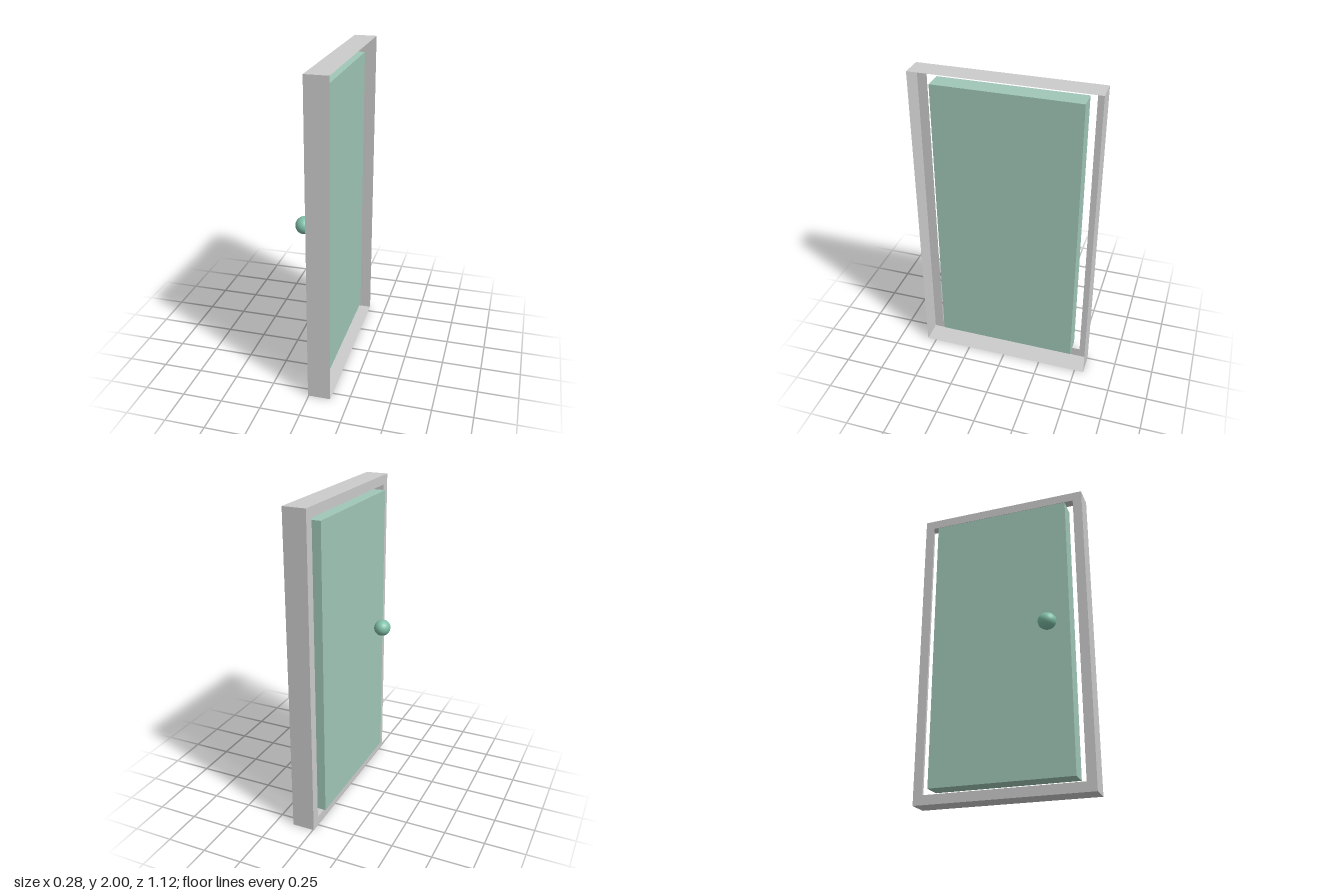
import * as THREE from 'three';

const HEIGHT = 2, WIDTH = 1.12;          // outer frame size (y, z)
const X_BACK = -0.005, X_OPEN = 0.137;   // frame depth along x
const BORDER = 0.06;

export function createModel() {
  const model = new THREE.Group();
  const grey = new THREE.MeshStandardMaterial({ color: 0xcccccc, side: THREE.DoubleSide });
  const doorGreen = new THREE.MeshStandardMaterial({ color: 0xa0c7b7 });
  const knobGreen = new THREE.MeshStandardMaterial({ color: 0x7fbfa8 });

  const add = (parent, name, geometry, material, x, y, z) => {
    const mesh = new THREE.Mesh(geometry, material);
    mesh.name = name;
    mesh.position.set(x, y, z);
    parent.add(mesh);
    return mesh;
  };

  // Frame: a thin shell, open towards +x
  const frame = new THREE.Group();
  frame.name = 'doorFrame';
  model.add(frame);

  // Flat border around the doorway, facing -x
  const border = new THREE.Shape([
    new THREE.Vector2(-WIDTH / 2, 0), new THREE.Vector2(WIDTH / 2, 0),
    new THREE.Vector2(WIDTH / 2, HEIGHT), new THREE.Vector2(-WIDTH / 2, HEIGHT),
  ]);
  const w = WIDTH / 2 - BORDER, top = HEIGHT - BORDER;
  border.holes.push(new THREE.Path([
    new THREE.Vector2(-w, BORDER), new THREE.Vector2(-w, top),
    new THREE.Vector2(w, top), new THREE.Vector2(w, BORDER),
  ]));
  add(frame, 'frameBorder', new THREE.ShapeGeometry(border), grey, X_BACK, 0, 0)
    .rotation.y = -Math.PI / 2;

  // Outer walls: two jambs, a head and a sill
  const depth = X_OPEN - X_BACK, midX = (X_OPEN + X_BACK) / 2;
  for (const s of [1, -1]) {
    add(frame, s > 0 ? 'frontJamb' : 'backJamb', new THREE.PlaneGeometry(depth, HEIGHT),
      grey, midX, HEIGHT / 2, s * WIDTH / 2).rotation.y = s > 0 ? 0 : Math.PI;
    add(frame, s > 0 ? 'frameHead' : 'frameSill', new THREE.PlaneGeometry(depth, WIDTH),
      grey, midX, s > 0 ? HEIGHT : 0, 0).rotation.x = -s * Math.PI / 2;
  }

  // Door leaf, standing free inside the frame
  add(model, 'doorLeaf', new THREE.BoxGeometry(0.122, 1.828, 0.905), doorGreen, 0.026, 1.002, -0.001);

  // Knob on the -x face, slightly wide along z
  add(model, 'doorKnob', new THREE.SphereGeometry(0.053, 32, 20), knobGreen, -0.085, 1.041, 0.322)
    .scale.z = 1.09;

  return model;
}
